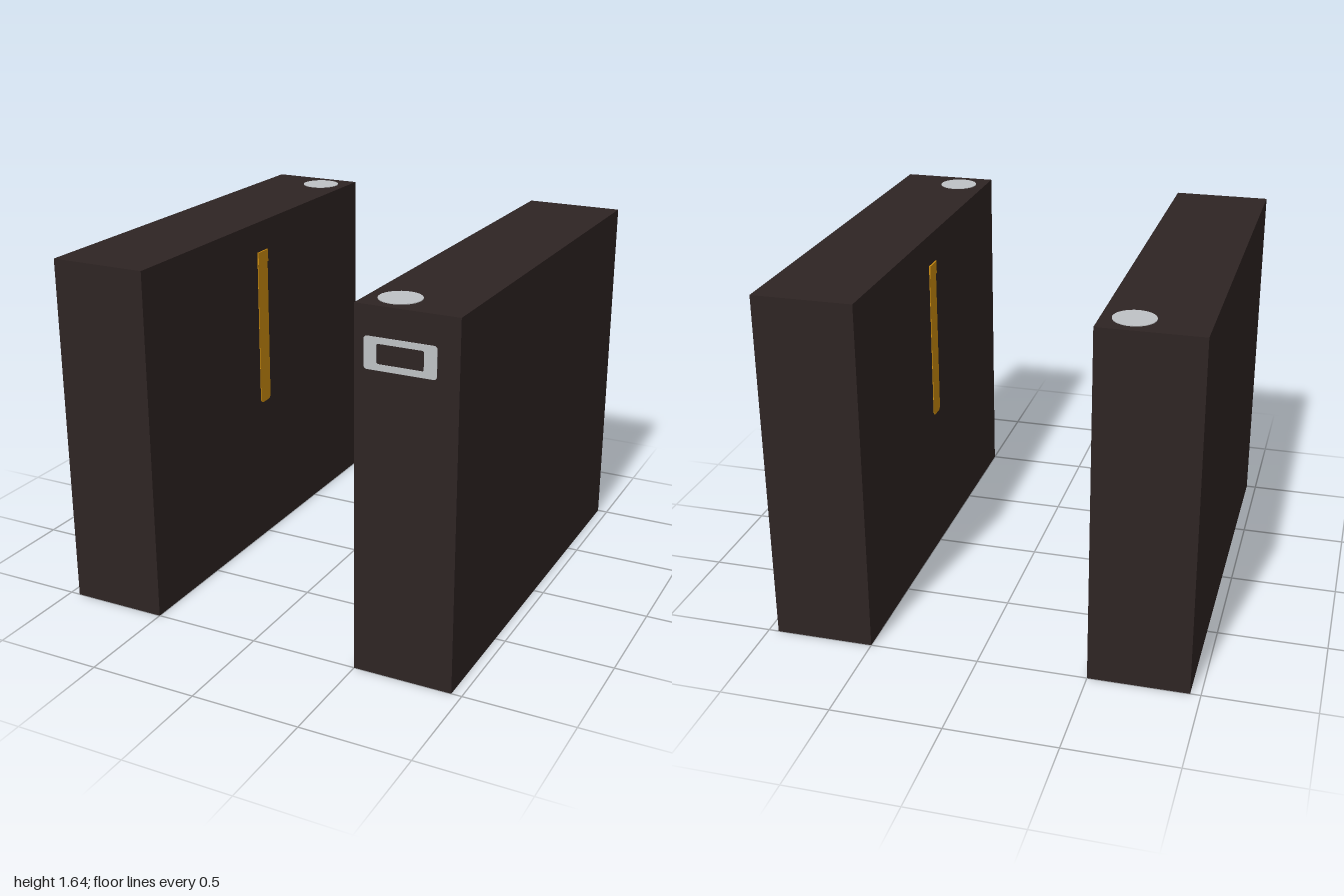
import * as THREE from 'three';

const bodyMat = new THREE.MeshStandardMaterial({ name: 'dark brown', color: 0x2e2423 });
const metalMat = new THREE.MeshStandardMaterial({ name: 'pale grey', color: 0xbfc2c5 });
const amberMat = new THREE.MeshStandardMaterial({ name: 'amber', color: 0xcc8c0e });

const H = 1.636;       // cabinet height
const INNER = 0.5;     // inner face of the cabinet
const W = 0.453;       // cabinet width

function add(parent, name, geometry, material, x, y, z) {
  const mesh = new THREE.Mesh(geometry, material);
  mesh.name = name;
  mesh.position.set(x, y, z);
  parent.add(mesh);
  return mesh;
}

// Closed outline of a rectangle with rounded corners, centred on the origin
function roundedRect(path, w, h, r) {
  const x = w / 2, y = h / 2, q = Math.PI / 2;
  path.absarc(x - r, y - r, r, 0, q);
  path.absarc(-x + r, y - r, r, q, 2 * q);
  path.absarc(-x + r, -y + r, r, 2 * q, 3 * q);
  path.absarc(x - r, -y + r, r, 3 * q, 4 * q);
  path.closePath();
  return path;
}

// One cabinet on the +x side, with its inner face towards x = 0
function makeCabinet(name) {
  const g = new THREE.Group();
  g.name = name;
  add(g, 'cabinetBody', new THREE.BoxGeometry(W, H, 2), bodyMat, INNER + W / 2, H / 2, 0);
  add(g, 'topDisc', new THREE.CylinderGeometry(0.091, 0.091, 0.004, 32), metalMat, 0.638, H + 0.001, 0.866);

  // Upright strip on the inner face with a slightly raised head
  const strip = new THREE.ExtrudeGeometry(roundedRect(new THREE.Shape(), 0.09, 0.77, 0.02),
    { depth: 0.003, bevelEnabled: false, curveSegments: 4 });
  add(g, 'lightStrip', strip, amberMat, INNER, 1.105, 0).rotation.y = -Math.PI / 2;
  add(g, 'stripHead', new THREE.BoxGeometry(0.007, 0.06, 0.09), amberMat, INNER - 0.0035, 1.46, 0);
  return g;
}

export function createModel() {
  const model = new THREE.Group();
  model.name = 'gate';

  // Two cabinets facing each other, half a turn apart
  const left = makeCabinet('leftCabinet');
  const right = makeCabinet('rightCabinet');
  right.rotation.y = Math.PI;
  model.add(left, right);

  // Slot frame on the front of the left cabinet
  const frame = roundedRect(new THREE.Shape(), 0.315, 0.138, 0.014);
  frame.holes.push(roundedRect(new THREE.Path(), 0.204, 0.084, 0.008));
  const frameGeo = new THREE.ExtrudeGeometry(frame, { depth: 0.003, bevelEnabled: false, curveSegments: 4 });
  add(left, 'slotFrame', frameGeo, metalMat, 0.7, 1.44, 0.9995);

  return model;
}
